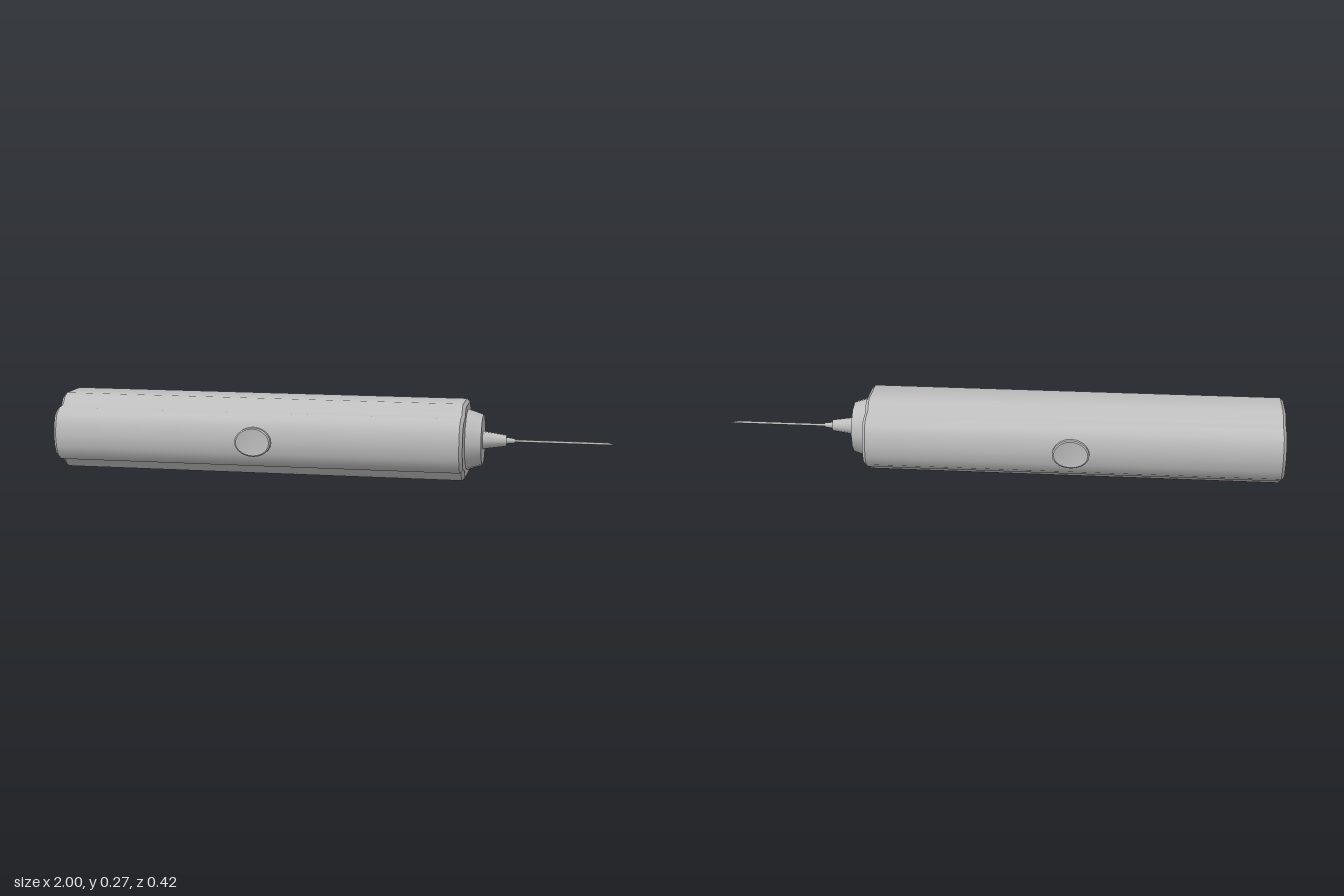
import * as THREE from 'three';
import { toCreasedNormals } from 'three/addons/utils/BufferGeometryUtils.js';

const CY = 0.137; // height of the long axis

export function createModel() {
  const group = new THREE.Group();
  const grey = new THREE.MeshStandardMaterial({ color: 0xbfbfbf });
  grey.name = 'light grey';

  const add = (name, geometry) => {
    const mesh = new THREE.Mesh(geometry, grey);
    mesh.name = name;
    mesh.position.y = CY;
    group.add(mesh);
    return mesh;
  };

  // Tapered round section along x, from x0 (radius r0) to x1 (radius r1)
  const taper = (name, x0, r0, x1, r1, sides) => {
    const g = new THREE.CylinderGeometry(r1, r0, x1 - x0, sides);
    g.rotateZ(-Math.PI / 2).translate((x0 + x1) / 2, 0, 0);
    return add(name, g);
  };

  // Lobed housing: one quarter of the section, mirrored twice
  const quarter = [
    [0.195, 0], [0.188, 0.043], [0.175, 0.075], [0.145, 0.095],
    [0.12, 0.097], [0.105, 0.104], [0.088, 0.126], [0.066, 0.1365],
  ];
  const half = [...quarter, ...quarter.slice(1).reverse().map(([a, b]) => [-a, b])];
  const bevel = 0.011;
  const section = [...half, ...half.map(([a, b]) => [-a, -b])].map(([a, b]) =>
    new THREE.Vector2(a, b));
  const housing = new THREE.ExtrudeGeometry(new THREE.Shape(section), {
    depth: 1.475 - 2 * bevel, bevelEnabled: true, bevelSegments: 1,
    bevelSize: bevel, bevelOffset: -bevel, bevelThickness: bevel,
  });
  housing.translate(0, 0, -1 + bevel).rotateY(Math.PI / 2);
  add('housing', toCreasedNormals(housing, 0.7));

  // Nose, needle hub and hub tip
  taper('noseCone', 0.465, 0.113, 0.53, 0.092, 12);
  taper('needleHub', 0.525, 0.033, 0.613, 0.02, 10);
  taper('hubTip', 0.61, 0.012, 0.642, 0.008, 10);

  // Needle with a slanted cut at its point
  const needle = taper('needle', 0.635, 0.0045, 1, 0.0045, 8);
  const np = needle.geometry.attributes.position;
  for (let i = 0; i < np.count; i++) {
    if (np.getX(i) > 0.9) np.setX(i, 1 - 0.035 * (np.getY(i) + 0.0045) / 0.009);
  }

  // Oval side buttons with a dished face
  const profile = [[1, 0], [1, 0.9], [0.92, 1], [0.7, 1], [0.4, 1], [0, 1]]
    .map(([r, h]) => new THREE.Vector2(r, h));
  const button = new THREE.LatheGeometry(profile, 20);
  button.rotateX(Math.PI / 2).scale(0.065, 0.052, 1);
  const bp = button.attributes.position;
  for (let i = 0; i < bp.count; i++) {
    const x = bp.getX(i), y = bp.getY(i), h = bp.getZ(i);
    const face = 0.2 + 2.6 * x * x + 0.8 * y * y - (1 - h) * 0.04;
    bp.setZ(i, h < 0.5 ? 0.17 : face);
  }
  const buttonGeometry = toCreasedNormals(button, 0.6);
  for (const [name, turn] of [['frontButton', 0], ['backButton', Math.PI]]) {
    const mesh = add(name, buttonGeometry);
    mesh.position.x = -0.26;
    mesh.rotation.y = turn;
  }

  return group;
}
